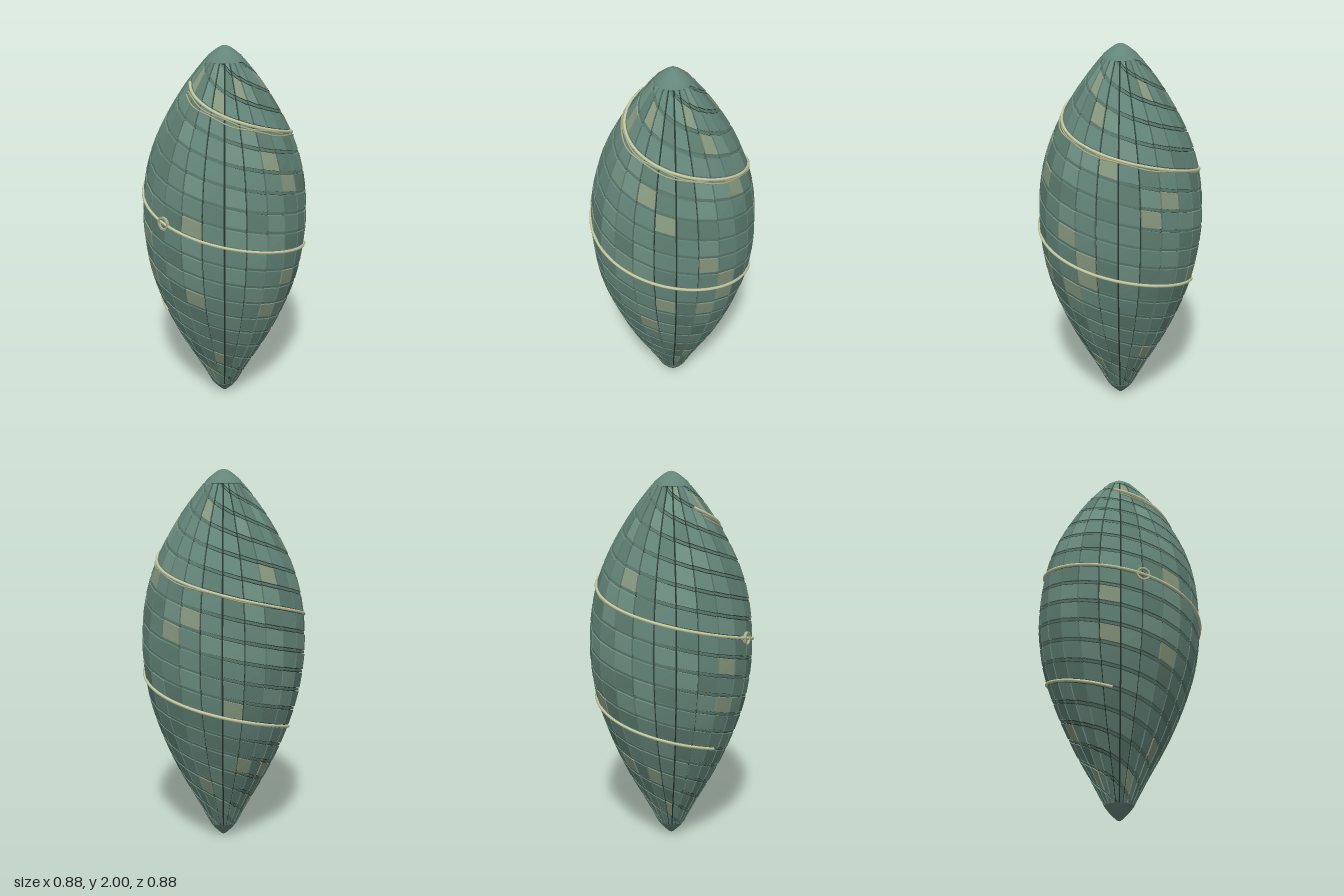
import * as THREE from 'three';

const TAU = Math.PI * 2;
const COLUMNS = 24;
const DROP = 0.62; // fall of the spiral per turn
const PITCH = DROP / 6; // height of one course of plates
const LEVEL = 1.165; // spiral height at the front
const LOW = 0.075, HIGH = 1.928;

// Radius of the shell by height
const outline = new THREE.SplineCurve([
  [0.07, 0.065], [0.14, 0.2], [0.25, 0.4], [0.338, 0.6], [0.402, 0.8], [0.432, 1.0],
  [0.433, 1.15], [0.422, 1.28], [0.39, 1.43], [0.322, 1.6], [0.21, 1.79], [0.097, 1.935],
].map(([r, y]) => new THREE.Vector2(r, y))).getPoints(120);

function radius(y) {
  let i = 1;
  while (i < outline.length - 1 && outline[i].y < y) i++;
  const a = outline[i - 1], b = outline[i];
  return THREE.MathUtils.mapLinear(y, a.y, b.y, a.x, b.x);
}

const around = (theta, y, r) => new THREE.Vector3(r * Math.sin(theta), y, r * Math.cos(theta));

let seed = 11;
function random() {
  seed = (seed * 16807) % 2147483647;
  return seed / 2147483647;
}

function mesh(name, geometry, color, options = {}) {
  const m = new THREE.Mesh(geometry, new THREE.MeshStandardMaterial({ color, ...options }));
  m.name = name;
  return m;
}

// Corner order of the six faces of a panel: 0-3 outside, 4-7 inside
const FACES = [[0, 1, 2, 3], [5, 4, 7, 6], [4, 5, 1, 0], [1, 5, 6, 2], [3, 2, 6, 7], [4, 0, 3, 7]];

// Adds one sloping panel between two heights measured at the front
function addPanel(out, column, from, to, inset, depth) {
  const t0 = (column / COLUMNS) * TAU, t1 = ((column + 1) / COLUMNS) * TAU;
  const corners = [[t0, from, 1], [t1, from, -1], [t1, to, -1], [t0, to, 1]].map(([t, h, side]) => {
    const y = THREE.MathUtils.clamp(h - (DROP * t) / TAU, LOW, HIGH);
    return { y, r: radius(y) - inset, t: t + (side * 0.004) / radius(y) };
  });
  if (corners[3].y - corners[0].y < 0.004 && corners[2].y - corners[1].y < 0.004) return;
  const p = [0, depth].flatMap((d) => corners.map((c) => around(c.t, c.y, c.r - d)));
  for (const [a, b, c, d] of FACES) {
    for (const i of [a, b, c, a, c, d]) out.push(p[i].x, p[i].y, p[i].z);
  }
}

function panelMesh(name, positions, color) {
  const g = new THREE.BufferGeometry();
  g.setAttribute('position', new THREE.Float32BufferAttribute(positions, 3));
  g.computeVertexNormals();
  return mesh(name, g, color, { flatShading: true });
}

// Cord following the spiral, measured in turns from the front
function cord(name, start, end, thickness, offset, color) {
  const points = [];
  const steps = Math.round((end - start) * 72);
  for (let i = 0; i <= steps; i++) {
    const f = i / steps;
    const turn = start + (end - start) * f;
    const y = LEVEL - DROP * turn + offset(f);
    points.push(around(turn * TAU, y, radius(y) + 0.001));
  }
  const path = new THREE.CatmullRomCurve3(points);
  return mesh(name, new THREE.TubeGeometry(path, steps * 2, thickness, 6), color);
}

function cap(name, profile) {
  const g = new THREE.LatheGeometry(profile.map(([r, y]) => new THREE.Vector2(r, y)), 48);
  return mesh(name, g, 0x64857a, { side: THREE.DoubleSide });
}

export function createModel() {
  const group = new THREE.Group();

  // Dark body showing in the joints
  const inner = outline.filter((p, i) => i % 3 === 0).map((p) => new THREE.Vector2(p.x - 0.017, p.y));
  group.add(mesh('darkCore', new THREE.LatheGeometry(inner, COLUMNS), 0x26352f, { side: THREE.DoubleSide }));

  // Plates in spiral courses, with a narrow strip in each joint
  const shades = [0x64857a, 0x5d7c70, 0x6d8e80, 0x87987f];
  const plates = shades.map(() => []);
  const strips = [];
  for (let k = -12; k < 15; k++) {
    const seam = LEVEL + k * PITCH;
    for (let c = 0; c < COLUMNS; c++) {
      const roll = random();
      const shade = roll < 0.5 ? 0 : roll < 0.72 ? 1 : roll < 0.93 ? 2 : 3;
      addPanel(plates[shade], c, seam + 0.011, seam + PITCH - 0.011, 0, 0.018);
      addPanel(strips, c, seam - 0.006, seam + 0.006, 0.003, 0.016);
    }
  }
  plates.forEach((p, i) => group.add(panelMesh('shellPlates' + (i + 1), p, shades[i])));
  group.add(panelMesh('jointStrips', strips, 0x587468));

  // End caps
  group.add(cap('topCap', [[0.098, 1.93], [0.085, 1.948], [0.062, 1.967], [0.04, 1.984], [0.02, 1.996], [0, 2]]));
  group.add(cap('bottomCap', [[0, 0], [0.012, 0.005], [0.03, 0.022], [0.052, 0.045], [0.075, 0.075]]));

  // Spiral cord, with looser strands beside its upper end
  group.add(cord('spiralCord', -1.07, 0.94, 0.008, () => 0, 0xc6caa0));
  for (const [i, drop] of [0.018, 0.036].entries()) {
    const wave = (f) => -drop * (1 - f) + 0.004 * Math.sin(f * 40 + i * 2);
    group.add(cord('looseStrand' + (i + 1), -1.04, -0.22, 0.004, wave, 0xa9ad87));
  }

  // Ring on the front of the cord
  const ringProfile = [[0.027, -0.012], [0.036, -0.012], [0.036, 0.012], [0.027, 0.012], [0.027, -0.012]];
  const ring = mesh('frontRing', new THREE.LatheGeometry(ringProfile.map(([r, y]) => new THREE.Vector2(r, y)), 32), 0xa9b08c, { flatShading: true });
  ring.rotation.x = Math.PI / 2;
  ring.position.set(0, LEVEL, 0.43);
  group.add(ring);

  return group;
}
